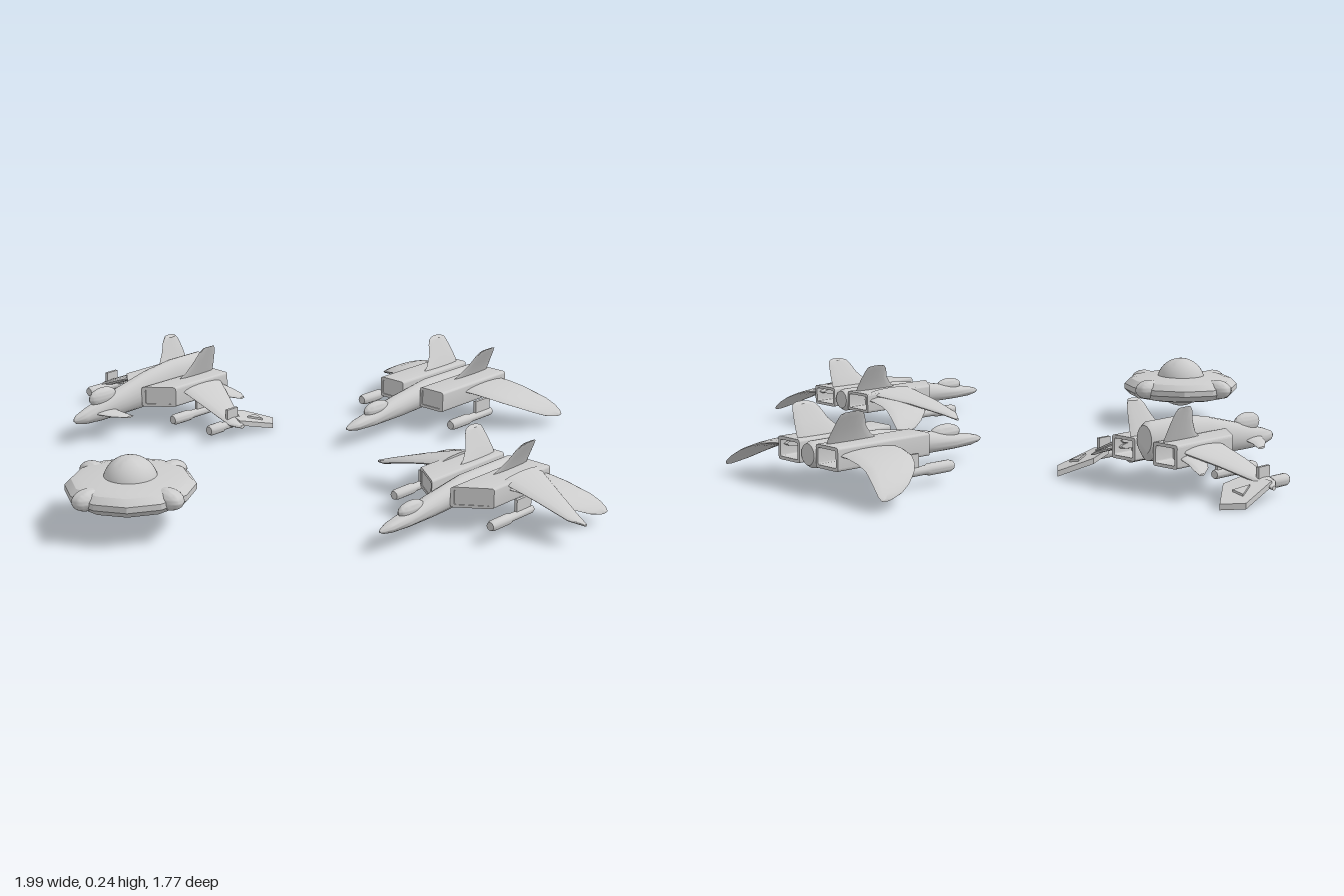
import * as THREE from 'three';
import { mergeVertices, toCreasedNormals } from 'three/addons/utils/BufferGeometryUtils.js';

const V = (x, y, z) => new THREE.Vector3(x, y, z);
const material = new THREE.MeshStandardMaterial({ color: 0xcccccc });

// Turn faces outward, then smooth everything but the sharp edges
function finish(geo, crease = 0.7) {
  geo.deleteAttribute('uv');
  geo.deleteAttribute('normal');
  const g = mergeVertices(geo, 1e-5), p = g.attributes.position, ix = g.index.array;
  const [a, b, c] = [V(), V(), V()];
  let volume = 0;
  for (let i = 0; i < ix.length; i += 3) {
    a.fromBufferAttribute(p, ix[i]); b.fromBufferAttribute(p, ix[i + 1]); c.fromBufferAttribute(p, ix[i + 2]);
    volume += a.dot(b.cross(c));
  }
  if (volume < 0) for (let i = 0; i < ix.length; i += 3) [ix[i], ix[i + 1]] = [ix[i + 1], ix[i]];
  return toCreasedNormals(g, crease);
}

function add(group, name, geo, crease) {
  const mesh = new THREE.Mesh(finish(geo, crease), material);
  mesh.name = name;
  group.add(mesh);
}

function addPair(group, name, geo, crease) {
  add(group, name + 'Left', geo.clone(), crease);
  add(group, name + 'Right', geo.clone().scale(-1, 1, 1), crease);
}

// Skin over a row of closed rings, with both ends capped
function loft(rings) {
  const n = rings[0].length, pts = rings.flat(), index = [];
  for (let r = 0; r < rings.length - 1; r++) for (let i = 0; i < n; i++) {
    const a = r * n + i, b = r * n + (i + 1) % n;
    index.push(a, b, a + n, b, b + n, a + n);
  }
  const last = (rings.length - 1) * n;
  for (let i = 1; i < n - 1; i++) index.push(0, i + 1, i, last, last + i, last + i + 1);
  const g = new THREE.BufferGeometry().setFromPoints(pts);
  g.setIndex(index);
  return g;
}

// Elliptical ring: half axes u and v around a centre
function ring(center, u, v, n = 14) {
  return Array.from({ length: n }, (_, i) => {
    const a = i / n * Math.PI * 2;
    return center.clone().addScaledVector(u, Math.cos(a)).addScaledVector(v, Math.sin(a));
  });
}

// Wing stations: x, back z, front z, y, thickness
const wing = st => loft(st.map(([x, b, f, y, t]) => ring(V(x, y, (b + f) / 2), V(0, 0, (f - b) / 2), V(0, t / 2, 0))));

// Fuselage stations: z, half width, bottom y, top y
const hull = st => loft(st.map(([z, w, b, t]) => ring(V(0, (b + t) / 2, z), V(w, 0, 0), V(0, (t - b) / 2, 0), 20)));

// Fin stations: y, back z, front z, x
const fin = st => loft(st.map(([y, b, f, x]) => ring(V(x, y, (b + f) / 2), V(0, 0, (f - b) / 2), V(0.008, 0.003, 0))));

function ellipsoid(rx, ry, rz, x, y, z) {
  return new THREE.SphereGeometry(1, 24, 16).scale(rx, ry, rz).translate(x, y, z);
}

// Rounded rectangle outline
function roundedRect(Type, x0, x1, y0, y1, r) {
  const s = new Type();
  s.moveTo(x0 + r, y0).lineTo(x1 - r, y0);
  s.quadraticCurveTo(x1, y0, x1, y0 + r).lineTo(x1, y1 - r);
  s.quadraticCurveTo(x1, y1, x1 - r, y1).lineTo(x0 + r, y1);
  s.quadraticCurveTo(x0, y1, x0, y1 - r).lineTo(x0, y0 + r);
  s.quadraticCurveTo(x0, y0, x0 + r, y0);
  return s;
}

// Engine box, hollow at the back, front face swept back towards the outside
function addEngines(group, x0, x1, y0, y1, length, slant) {
  const extrude = (shape, z0, z1) => {
    const g = new THREE.ExtrudeGeometry(shape, { depth: z1 - z0, bevelEnabled: false, curveSegments: 4 }).translate(0, 0, z0);
    const p = g.attributes.position;
    for (let i = 0; i < p.count; i++)
      if (p.getZ(i) > z1 - 1e-4) p.setZ(i, z1 - slant * (p.getX(i) - x0) / (x1 - x0));
    return g;
  };
  const shell = roundedRect(THREE.Shape, x0, x1, y0, y1, 0.008);
  const e = 0.009;
  shell.holes.push(roundedRect(THREE.Path, x0 + e, x1 - e, y0 + e, y1 - e, 0.005));
  addPair(group, 'engineBox', extrude(shell, 0, length), 0.5);
  const core = roundedRect(THREE.Shape, x0 + e, x1 - e, y0 + e, y1 - e, 0.005);
  addPair(group, 'engineCore', extrude(core, 0.07, length - 0.003), 0.5);
}

// Slim cannon with a thicker barrel sleeve
function addCannons(group, name, x, y, z0, z1) {
  const L = z1 - z0;
  const profile = [[0, 0], [0.011, 0], [0.013, 0.03], [0.013, 0.52], [0.017, 0.58], [0.017, 0.94], [0.013, 1], [0, 1]]
    .map(([r, t]) => new THREE.Vector2(r, t * L));
  addPair(group, name, new THREE.LatheGeometry(profile, 16).rotateX(Math.PI / 2).translate(x, y, z0));
  addPair(group, name + 'Pylon', new THREE.BoxGeometry(0.01, 0.05, L * 0.35).translate(x, y + 0.025, z0 + L * 0.22), 0.5);
}

// Curved-wing fighter, tail at z = 0
function fighter(name, engineOuter, engineLength, slant) {
  const g = new THREE.Group();
  g.name = name;
  add(g, 'fuselage', hull([[0, 0.028, 0.07, 0.13], [0.015, 0.034, 0.06, 0.136], [0.25, 0.035, 0.05, 0.137],
    [0.4, 0.034, 0.045, 0.115], [0.52, 0.028, 0.045, 0.092], [0.59, 0.019, 0.047, 0.081],
    [0.622, 0.01, 0.053, 0.072], [0.635, 0.002, 0.06, 0.064]]));
  add(g, 'canopy', ellipsoid(0.019, 0.025, 0.056, 0, 0.096, 0.495));
  addEngines(g, 0.036, engineOuter, 0.07, 0.135, engineLength, slant);
  addPair(g, 'curvedWing', wing([[0.11, 0.012, 0.208, 0.112, 0.024], [0.16, 0.008, 0.202, 0.11, 0.023],
    [0.21, 0.003, 0.188, 0.102, 0.02], [0.25, -0.004, 0.165, 0.09, 0.018], [0.285, -0.018, 0.132, 0.075, 0.015],
    [0.315, -0.028, 0.09, 0.056, 0.012], [0.333, -0.032, 0.05, 0.04, 0.009], [0.342, -0.028, 0.005, 0.03, 0.006]]));
  addPair(g, 'tailFin', fin([[0.125, 0.015, 0.2, 0.06], [0.145, 0.015, 0.165, 0.068], [0.175, 0.02, 0.135, 0.083],
    [0.205, 0.027, 0.12, 0.099], [0.218, 0.032, 0.108, 0.106], [0.222, 0.042, 0.095, 0.108]]));
  addCannons(g, 'cannon', 0.187, 0.048, 0.15, 0.353);
  return g;
}

// Heavy fighter with canards, winglets and four cannons
function heavyFighter() {
  const g = new THREE.Group();
  g.name = 'heavyFighter';
  add(g, 'fuselage', hull([[0, 0.027, 0.1, 0.18], [0.015, 0.033, 0.08, 0.19], [0.14, 0.034, 0.065, 0.19],
    [0.25, 0.034, 0.06, 0.175], [0.36, 0.032, 0.058, 0.148], [0.45, 0.027, 0.057, 0.125],
    [0.51, 0.019, 0.06, 0.108], [0.545, 0.009, 0.068, 0.096], [0.556, 0.002, 0.078, 0.086]]));
  add(g, 'canopy', ellipsoid(0.019, 0.03, 0.054, 0, 0.133, 0.435));
  addEngines(g, 0.033, 0.118, 0.075, 0.14, 0.3, 0.07);
  addPair(g, 'mainWing', wing([[0.1, 0.02, 0.195, 0.122, 0.028], [0.2, 0.07, 0.19, 0.088, 0.024],
    [0.31, 0.125, 0.178, 0.045, 0.018], [0.332, 0.135, 0.15, 0.037, 0.012]]));
  addPair(g, 'tailPlane', wing([[0.1, 0.02, 0.11, 0.105, 0.018], [0.15, 0.008, 0.085, 0.093, 0.014],
    [0.18, -0.002, 0.055, 0.082, 0.01], [0.197, 0, 0.02, 0.072, 0.006]]));
  addPair(g, 'canard', wing([[0.015, 0.405, 0.485, 0.09, 0.014], [0.055, 0.398, 0.455, 0.083, 0.011],
    [0.086, 0.384, 0.412, 0.076, 0.006]]));
  addPair(g, 'tailFin', fin([[0.13, 0.01, 0.17, 0.055], [0.155, 0.012, 0.135, 0.064], [0.19, 0.018, 0.11, 0.076],
    [0.22, 0.025, 0.095, 0.087], [0.234, 0.035, 0.08, 0.092]]));
  // Sloping winglets with a raised triangular plate
  const plate = (corners, thickness, lift) => {
    const shape = new THREE.Shape(corners.map(c => new THREE.Vector2(...c)));
    const geo = new THREE.ExtrudeGeometry(shape, { depth: thickness, bevelEnabled: false });
    const p = geo.attributes.position;
    for (let i = 0; i < p.count; i++) {
      const x = p.getX(i), z = p.getY(i), d = p.getZ(i);
      p.setXYZ(i, x, 0.0433 + lift + d + 0.25 * (z - 0.12) - 0.2 * (x - 0.27), z);
    }
    return geo;
  };
  addPair(g, 'winglet', plate([[0.235, 0.05], [0.294, -0.034], [0.342, 0.015], [0.322, 0.145], [0.25, 0.13]], 0.016, 0), 0.4);
  addPair(g, 'wingletPlate', plate([[0.28, 0.035], [0.315, 0.035], [0.297, 0.085]], 0.008, 0.014), 0.4);
  addCannons(g, 'innerCannon', 0.155, 0.052, 0.11, 0.28);
  addCannons(g, 'outerCannon', 0.289, 0.04, 0.12, 0.25);
  return g;
}

function saucer() {
  const g = new THREE.Group();
  g.name = 'saucer';
  // Faceted rim, hollow underneath
  const profile = [[0.06, 0.112], [0.1, 0.112], [0.112, 0.09], [0.135, 0.083], [0.165, 0.09], [0.183, 0.108],
    [0.183, 0.125], [0.165, 0.143], [0.14, 0.149], [0.06, 0.153], [0.06, 0.112]].map(p => new THREE.Vector2(...p));
  add(g, 'rim', new THREE.LatheGeometry(profile, 12, Math.PI / 12), 0.5);
  add(g, 'dome', new THREE.SphereGeometry(0.078, 32, 20).translate(0, 0.13, 0));
  for (let i = 0; i < 4; i++)
    add(g, 'rimPod' + (i + 1), ellipsoid(0.05, 0.03, 0.034, 0.156, 0.122, 0).rotateY(i * Math.PI / 2));
  return g;
}

export function createModel() {
  const model = new THREE.Group();
  model.name = 'spacecraftSet';

  const light = fighter('curvedWingFighter', 0.13, 0.323, 0);
  light.position.set(-0.02, 0, -0.853);

  // Smaller fighter with an extra pair of straight wings
  const striker = fighter('doubleWingFighter', 0.143, 0.355, 0.075);
  addPair(striker, 'straightWing', wing([[0.12, 0.025, 0.212, 0.13, 0.026], [0.25, 0.098, 0.212, 0.103, 0.022],
    [0.36, 0.152, 0.208, 0.073, 0.016], [0.404, 0.17, 0.18, 0.06, 0.008]]));
  striker.scale.setScalar(0.92);
  striker.position.set(0.618, 0.008, -0.227);

  const heavy = heavyFighter();
  heavy.position.set(-0.655, 0, -0.206);

  const disc = saucer();
  disc.position.set(-0.02, 0, 0.675);

  model.add(light, striker, heavy, disc);
  return model;
}
